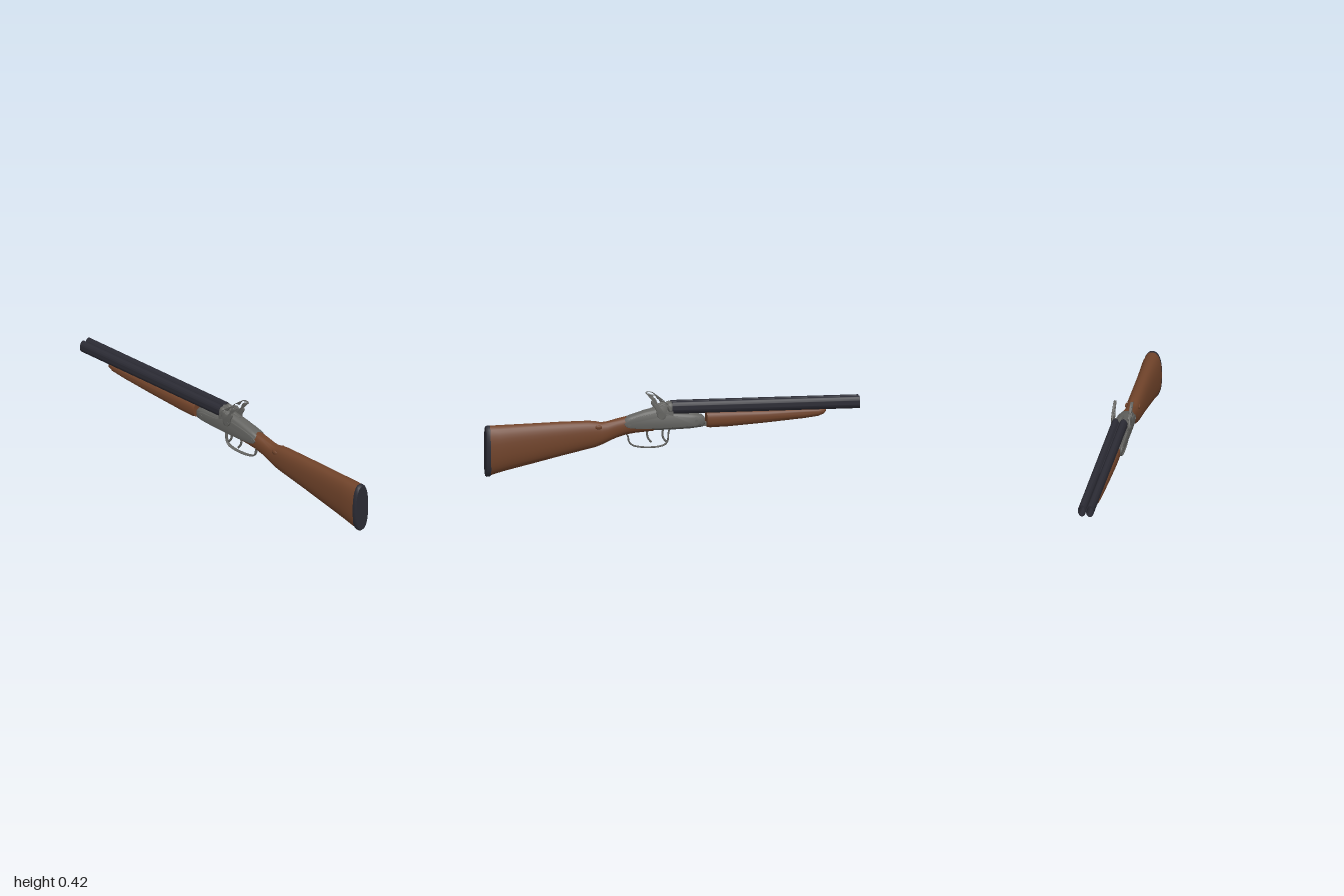
import * as THREE from 'three';
import { toCreasedNormals } from 'three/addons/utils/BufferGeometryUtils.js';

const mat = (name, color) => {
  const m = new THREE.MeshStandardMaterial({ color, side: THREE.DoubleSide });
  m.name = name;
  return m;
};

// Skin of superellipse rings; each section is [z, top, bottom, halfWidth], z increasing.
function loft(sections, power = 2.4, sides = 32) {
  const pos = [], idx = [], e = 2 / power;
  const bend = (v) => Math.sign(v) * Math.abs(v) ** e;
  for (const [z, top, bottom, half] of sections) {
    for (let j = 0; j < sides; j++) {
      const a = (j / sides) * Math.PI * 2;
      pos.push(half * bend(Math.cos(a)), (top + bottom) / 2 + ((top - bottom) / 2) * bend(Math.sin(a)), z);
    }
  }
  const n = sections.length;
  for (let i = 0; i < n - 1; i++) {
    for (let j = 0; j < sides; j++) {
      const k = (j + 1) % sides, a = i * sides, b = a + sides;
      idx.push(a + j, a + k, b + k, a + j, b + k, b + j);
    }
  }
  for (let j = 1; j < sides - 1; j++) {
    const last = (n - 1) * sides;
    idx.push(0, j + 1, j, last, last + j, last + j + 1);
  }
  const g = new THREE.BufferGeometry();
  g.setAttribute('position', new THREE.Float32BufferAttribute(pos, 3));
  g.setIndex(idx);
  g.computeVertexNormals();
  return toCreasedNormals(g, 0.75);
}

// Side outline drawn as (z, y), given a thickness across x.
function sidePlate(shape, thick, bevel = 0.003) {
  const g = new THREE.ExtrudeGeometry(shape, {
    depth: thick - 2 * bevel, bevelEnabled: true, bevelThickness: bevel,
    bevelSize: bevel, bevelOffset: -bevel, bevelSegments: 2, curveSegments: 12,
  });
  g.translate(0, 0, -(thick - 2 * bevel) / 2);
  g.rotateY(-Math.PI / 2);
  return toCreasedNormals(g, 0.7);
}

const smoothShape = (pts) =>
  new THREE.Shape(new THREE.SplineCurve([...pts, pts[0]].map((p) => new THREE.Vector2(...p))).getPoints(48));

// Strap that follows a (z, y) path, flattened across x.
function strap(pts, radius, widen) {
  const curve = new THREE.CatmullRomCurve3(pts.map(([z, y]) => new THREE.Vector3(0, y, z)));
  return new THREE.TubeGeometry(curve, 40, radius, 10).scale(widen, 1, 1);
}

export function createModel() {
  const root = new THREE.Group();
  root.name = 'doubleBarrelShotgun';
  const wood = mat('walnut wood', 0x70432a);
  const steel = mat('grey steel', 0x636360);
  const dark = mat('blued steel', 0x2b2b34);
  const add = (name, geometry, material, x = 0, y = 0, z = 0) => {
    const m = new THREE.Mesh(geometry, material);
    m.name = name;
    m.position.set(x, y, z);
    root.add(m);
    return m;
  };

  // Shoulder stock, wrist and butt pad
  add('stock', loft([
    [0.1, 0.285, 0.221, 0.034], [0.2, 0.302, 0.213, 0.037], [0.25, 0.301, 0.205, 0.038],
    [0.3, 0.29, 0.19, 0.036], [0.35, 0.277, 0.168, 0.036], [0.38, 0.274, 0.154, 0.037],
    [0.41, 0.281, 0.143, 0.039], [0.45, 0.284, 0.134, 0.041], [0.6, 0.283, 0.1, 0.043],
    [0.75, 0.279, 0.064, 0.046], [0.88, 0.276, 0.034, 0.051], [0.93, 0.275, 0.021, 0.054],
    [0.98, 0.273, 0.006, 0.051],
  ]), wood);
  add('buttPad', loft([
    [0.974, 0.272, 0.003, 0.05], [0.982, 0.275, 0.001, 0.052],
    [0.994, 0.273, 0, 0.05], [1, 0.267, 0.005, 0.046],
  ]), dark);

  // Fore-end under the barrels
  add('foreEnd', loft([
    [-0.822, 0.315, 0.3, 0.014], [-0.81, 0.316, 0.286, 0.025], [-0.78, 0.318, 0.274, 0.031],
    [-0.7, 0.32, 0.264, 0.034], [-0.5, 0.32, 0.247, 0.037], [-0.3, 0.32, 0.233, 0.039],
    [-0.2, 0.32, 0.23, 0.039], [-0.183, 0.317, 0.234, 0.037],
  ], 2.6), wood);

  // Receiver: low bar ahead of the breech, sloping tang behind it
  add('receiver', loft([
    [-0.172, 0.288, 0.25, 0.028], [-0.16, 0.302, 0.236, 0.037], [-0.1, 0.312, 0.229, 0.039],
    [-0.002, 0.318, 0.225, 0.039], [0, 0.372, 0.225, 0.04], [0.02, 0.369, 0.225, 0.04],
    [0.06, 0.352, 0.225, 0.039], [0.15, 0.332, 0.226, 0.039], [0.22, 0.31, 0.234, 0.038],
    [0.255, 0.297, 0.246, 0.034], [0.268, 0.286, 0.26, 0.024],
  ], 3), steel);
  add('topLever', loft([
    [0, 0.374, 0.35, 0.009], [0.03, 0.374, 0.345, 0.01], [0.08, 0.354, 0.33, 0.008], [0.12, 0.342, 0.325, 0.004],
  ], 2.4, 16), steel);
  add('foreEndLug', new THREE.BoxGeometry(0.03, 0.022, 0.06), steel, 0, 0.25, -0.17);

  // Hollow barrels, taller than wide, with a rib between them
  const tube = new THREE.Shape().absellipse(0, 0, 0.0212, 0.033, 0, Math.PI * 2);
  tube.holes.push(new THREE.Path().absellipse(0, 0, 0.0165, 0.0265, 0, Math.PI * 2, true));
  const barrel = toCreasedNormals(new THREE.ExtrudeGeometry(tube, {
    depth: 1.004, bevelEnabled: false, curveSegments: 32,
  }), 0.7);
  add('barrelRib', new THREE.BoxGeometry(0.012, 0.03, 0.58), dark, 0, 0.345, -0.29);

  // Side furniture, mirrored
  const plate = sidePlate(smoothShape([
    [0.262, 0.268], [0.235, 0.288], [0.15, 0.31], [0.06, 0.32], [-0.02, 0.298], [-0.13, 0.292],
    [-0.155, 0.27], [-0.13, 0.248], [0, 0.24], [0.15, 0.238], [0.24, 0.246],
  ]), 0.008, 0.002);
  const hammer = sidePlate(smoothShape([
    [0.045, 0.29], [0.038, 0.31], [0.048, 0.335], [0.068, 0.352], [0.086, 0.375], [0.094, 0.396],
    [0.108, 0.408], [0.13, 0.414], [0.124, 0.42], [0.098, 0.416], [0.083, 0.4], [0.072, 0.382],
    [0.056, 0.382], [0.04, 0.372], [0.034, 0.364], [0.052, 0.366], [0.06, 0.36], [0.073, 0.358],
    [0.098, 0.375], [0.106, 0.36], [0.092, 0.335], [0.086, 0.305], [0.068, 0.287],
  ]), 0.012);
  const screw = new THREE.CylinderGeometry(0.009, 0.01, 0.006, 16).rotateZ(Math.PI / 2);
  const pivot = new THREE.CylinderGeometry(0.015, 0.017, 0.012, 20).rotateZ(Math.PI / 2);
  const nipple = new THREE.CylinderGeometry(0.006, 0.009, 0.03, 12).rotateX(0.5);
  const fence = new THREE.SphereGeometry(1, 20, 14).scale(0.02, 0.032, 0.026);
  for (const s of [-1, 1]) {
    add('barrel', barrel, dark, s * 0.0215, 0.345, -1);
    add('lockPlate', plate, steel, s * 0.038, 0, 0);
    add('hammer', hammer, steel, s * 0.045, 0, 0);
    add('hammerPivot', pivot, steel, s * 0.046, 0.308, 0.066);
    add('nipple', nipple, steel, s * 0.04, 0.345, 0.022);
    add('breechFence', fence, steel, s * 0.023, 0.342, 0.014);
    for (const [z, y] of [[0.235, 0.264], [-0.125, 0.27]]) add('plateScrew', screw, steel, s * 0.041, y, z);
    add('wristKnot', new THREE.SphereGeometry(1, 14, 10).scale(0.006, 0.012, 0.018), wood, s * 0.035, 0.253, 0.398);
  }

  // Trigger guard and the two triggers
  add('triggerGuard', strap([
    [0.25, 0.212], [0.236, 0.195], [0.232, 0.17], [0.215, 0.148], [0.18, 0.137], [0.13, 0.132],
    [0.07, 0.135], [0.035, 0.147], [0.022, 0.17], [0.02, 0.2], [0.012, 0.232],
  ], 0.0045, 2.3), steel);
  for (const z of [0.115, 0.035]) {
    add('trigger', strap([
      [0.012, 0.235], [0.018, 0.205], [0.012, 0.18], [-0.004, 0.158],
    ], 0.0055, 1.2), steel, z > 0.1 ? -0.006 : 0.006, 0, z);
  }
  return root;
}
